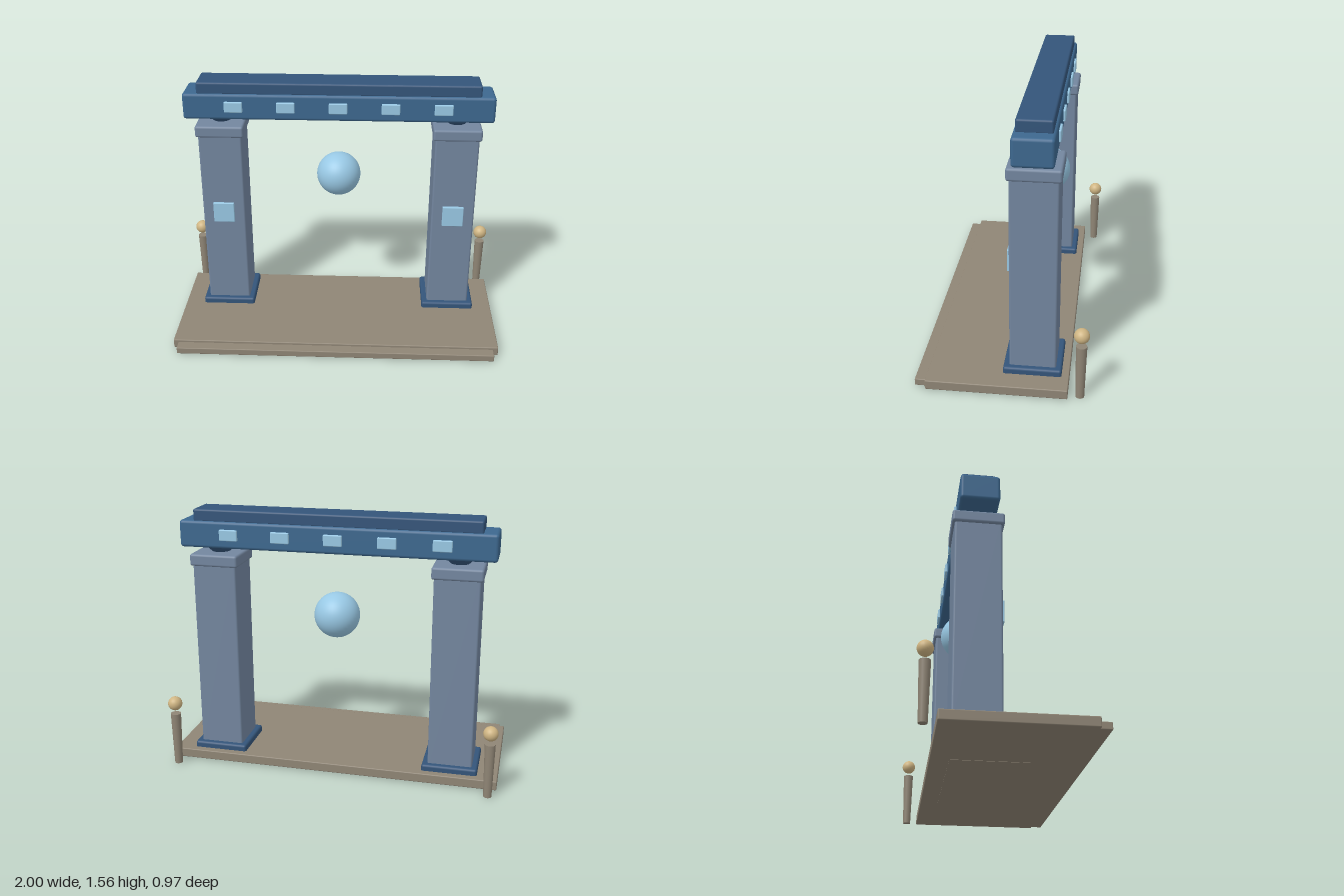
import * as THREE from 'three';
import { RoundedBoxGeometry } from 'three/addons/geometries/RoundedBoxGeometry.js';

const mat = (color) => new THREE.MeshStandardMaterial({ color });

export function createModel() {
  const model = new THREE.Group();
  const stone = mat(0x8f8575), slate = mat(0x73869f), blue = mat(0x3d688f);
  const darkBlue = mat(0x34557a), glow = mat(0x98c8e4), gold = mat(0xcfb583);
  const gateZ = -0.168;

  const add = (name, geometry, material, x, y, z, parent = model) => {
    const mesh = new THREE.Mesh(geometry, material);
    mesh.name = name;
    mesh.position.set(x, y, z);
    parent.add(mesh);
    return mesh;
  };
  // Soft-edged box given by its width, bottom, top and depth
  const slab = (name, material, w, y0, y1, d, x, z, r, parent) =>
    add(name, new RoundedBoxGeometry(w, y1 - y0, d, 2, r), material, x, (y0 + y1) / 2, z, parent);

  // Ground: platform, front step and thin plate underneath
  slab('platform', stone, 2, 0.008, 0.065, 0.795, 0, 0.022, 0.006);
  slab('frontStep', stone, 1.94, 0.008, 0.05, 0.12, 0, 0.422, 0.005);
  add('underPlate', new THREE.BoxGeometry(0.84, 0.012, 0.44), stone, 0, 0.012, -0.05);

  for (const side of [-1, 1]) {
    // Pillar with plinth, capital, neck and front panel
    const pillar = new THREE.Group();
    pillar.name = side > 0 ? 'leftPillar' : 'rightPillar';
    pillar.position.set(side * 0.715, 0, gateZ);
    model.add(pillar);
    slab('plinth', darkBlue, 0.33, 0.012, 0.103, 0.33, 0, 0, 0.014, pillar);
    slab('shaft', slate, 0.264, 0.08, 1.25, 0.264, 0, 0, 0.012, pillar);
    slab('capital', slate, 0.292, 1.233, 1.305, 0.292, 0, 0, 0.014, pillar);
    add('neck', new THREE.CylinderGeometry(0.1, 0.045, 0.055, 20), darkBlue, 0, 1.3225, 0, pillar);
    slab('panel', glow, 0.13, 0.665, 0.795, 0.03, 0, 0.135, 0.004, pillar);

    // Lamp post behind the platform corner
    const lamp = new THREE.Group();
    lamp.name = side > 0 ? 'leftLamp' : 'rightLamp';
    lamp.position.set(side * 0.953, 0, -0.442);
    model.add(lamp);
    add('post', new THREE.CylinderGeometry(0.031, 0.024, 0.33, 16), stone, 0, 0.168, 0, lamp);
    add('lampBall', new THREE.SphereGeometry(0.043, 24, 16), gold, 0, 0.398, 0, lamp);
  }

  // Lintel and top beam
  slab('lintel', blue, 1.86, 1.338, 1.498, 0.222, 0, gateZ, 0.018);
  slab('topBeam', darkBlue, 1.69, 1.49, 1.565, 0.195, 0, gateZ, 0.012);

  // Studs along both faces of the lintel
  for (let i = -2; i <= 2; i++) {
    for (const face of [-1, 1]) {
      slab('stud', glow, 0.11, 1.387, 1.453, 0.03, i * 0.3125, gateZ + face * 0.109, 0.006);
    }
  }

  // Floating orb in the gateway
  add('orb', new THREE.SphereGeometry(0.136, 40, 24), glow, 0, 0.95, gateZ);

  return model;
}
